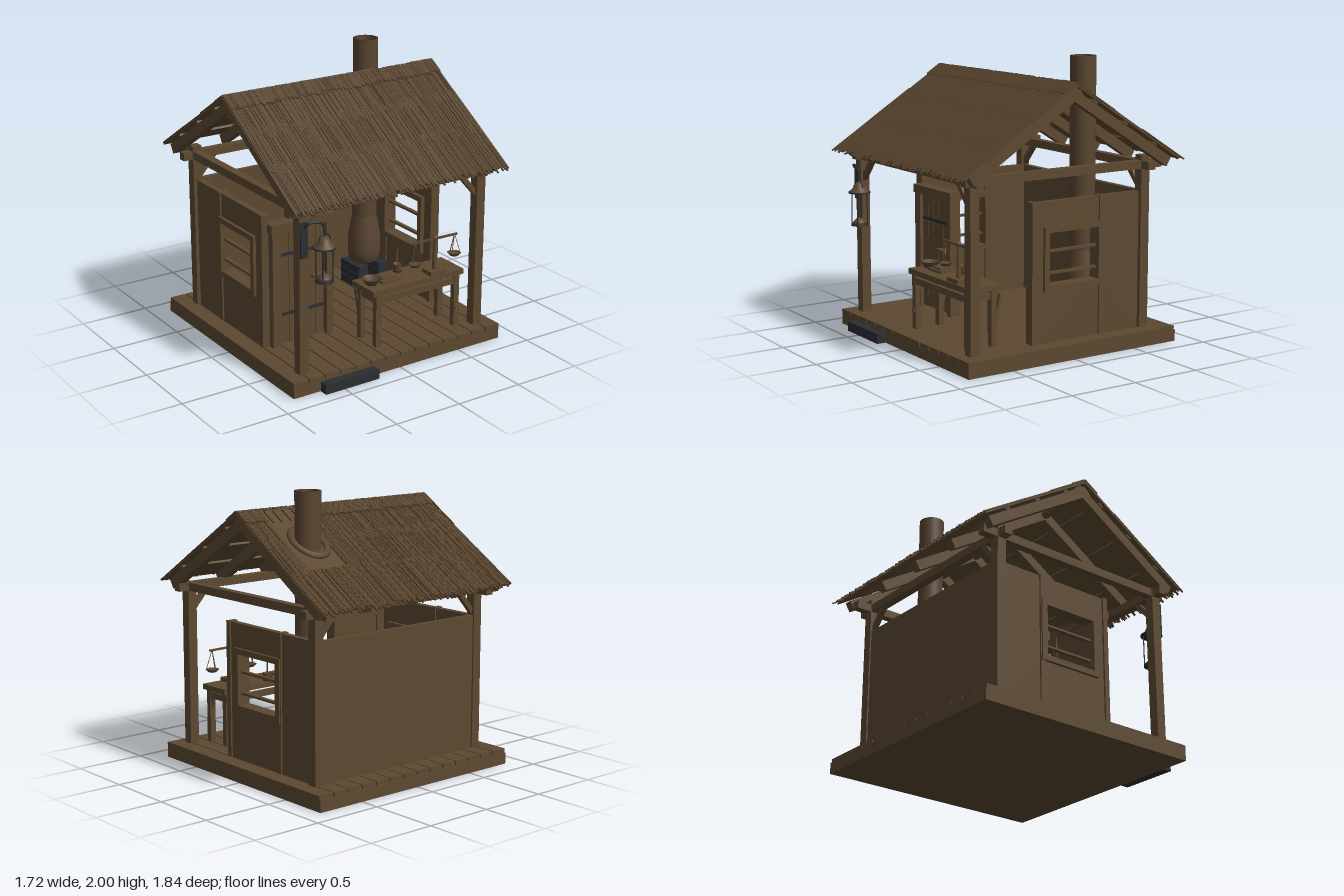
import * as THREE from 'three';
import { mergeGeometries } from 'three/addons/utils/BufferGeometryUtils.js';

const mat = (name, color, side = THREE.FrontSide) => {
  const m = new THREE.MeshStandardMaterial({ color, side });
  m.name = name;
  return m;
};

export function createModel() {
  const wood = mat('brown wood', 0x5c4830);
  const thatch = mat('dry thatch', 0x56422b);
  const clay = mat('brown clay', 0x594530, THREE.DoubleSide);
  const iron = mat('dark iron', 0x2b2e32);
  const model = new THREE.Group();
  model.name = 'openHut';

  let seed = 7;
  const rand = () => (seed = (seed * 16807) % 2147483647) / 2147483647;

  const add = (name, geo, m, x = 0, y = 0, z = 0, parent = model) => {
    const mesh = new THREE.Mesh(geo, m);
    mesh.name = name;
    mesh.position.set(x, y, z);
    parent.add(mesh);
    return mesh;
  };
  // box given by its limits
  const box = (name, x0, x1, y0, y1, z0, z1, m = wood, parent = model) =>
    add(name, new THREE.BoxGeometry(x1 - x0, y1 - y0, z1 - z0), m, (x0 + x1) / 2, (y0 + y1) / 2, (z0 + z1) / 2, parent);
  // square bar between two points
  const bar = (name, a, b, w, m = wood) => {
    const p = new THREE.Vector3(...a), q = new THREE.Vector3(...b);
    const mesh = add(name, new THREE.BoxGeometry(w, w, p.distanceTo(q)), m);
    mesh.position.copy(p).add(q).multiplyScalar(0.5);
    mesh.lookAt(q);
    return mesh;
  };
  const cyl = (name, r0, r1, h, x, y, z, m = wood, n = 16) =>
    add(name, new THREE.CylinderGeometry(r0, r1, h, n), m, x, y, z);
  const lathe = (name, pts, x, y, z, m = clay, n = 24) =>
    add(name, new THREE.LatheGeometry(pts.map(p => new THREE.Vector2(...p)), n), m, x, y, z);

  // base, floor boards and step
  box('base', -0.86, 0.86, 0, 0.08, -0.86, 0.85);
  const pitch = 1.72 / 14;
  for (let i = 0; i < 14; i++) {
    const x = -0.86 + i * pitch;
    box('floorBoard', x + (i ? 0.004 : 0), x + pitch - (i < 13 ? 0.004 : 0), 0.08, 0.11, -0.85, 0.85);
  }
  box('step', -0.65, -0.22, 0, 0.07, 0.85, 0.915, iron);

  // posts, braces, plates and tie beams
  for (const s of [-1, 1]) {
    for (const [z, top] of [[0.735, 1.28], [-0.655, 1.32]]) {
      add('post', new THREE.BoxGeometry(0.07, top - 0.11, 0.07), wood, s * 0.725, (top + 0.11) / 2, z);
      bar('brace', [s * 0.71, 1.08, z], [s * 0.56, 1.25, z], 0.035);
    }
    add('tieBeam', new THREE.BoxGeometry(0.06, 0.058, 1.6), wood, s * 0.725, 1.255, 0);
  }
  box('frontPlate', -0.83, 0.83, 1.225, 1.282, 0.705, 0.765);
  box('backPlate', -0.83, 0.83, 1.225, 1.282, -0.685, -0.625);

  // walls with a window on each side
  box('backWall', -0.7, 0.7, 0.11, 1.07, -0.68, -0.64);
  const rect = (T, x0, x1, y0, y1) => new T([[x0, y0], [x1, y0], [x1, y1], [x0, y1]].map(p => new THREE.Vector2(...p)));
  const panel = (z0, z1, y0, y1, depth) => {
    const shape = rect(THREE.Shape, -z1, -z0, y0, y1);
    shape.holes.push(rect(THREE.Path, -0.14, 0.265, 0.5, 0.86));
    const g = new THREE.ExtrudeGeometry(shape, { depth, bevelEnabled: false });
    return g.translate(0, 0, -depth / 2).rotateY(Math.PI / 2);
  };
  for (const s of [-1, 1]) {
    add('sideWall', panel(-0.64, 0.277, 0.11, 1.07, 0.045), wood, s * 0.71);
    add('windowFrame', panel(-0.31, 0.18, 0.46, 0.9, 0.1), wood, s * 0.705);
    for (const y of [0.58, 0.73]) add('windowBar', new THREE.BoxGeometry(0.03, 0.016, 0.41), wood, s * 0.71, y, -0.06);
    for (const z of [0.258, -0.297])
      add('wallStud', new THREE.BoxGeometry(0.07, 0.965, 0.038), wood, s * 0.71, 0.5925, z);
  }

  // door
  box('doorJamb', -0.69, -0.62, 0.11, 0.95, 0.24, 0.325);
  box('doorJamb', -0.255, -0.205, 0.11, 0.95, 0.24, 0.325);
  box('doorHeader', -0.7, -0.19, 0.95, 1.01, 0.24, 0.332);
  for (let i = 0; i < 5; i++) {
    const x = -0.615 + i * 0.071;
    box('doorPlank', x, x + 0.067, 0.12, 0.945, 0.27, 0.3);
  }
  box('doorBacking', -0.62, -0.255, 0.12, 0.945, 0.25, 0.27);
  for (const y of [0.34, 0.775]) box('doorStrap', -0.605, -0.265, y - 0.011, y + 0.011, 0.3, 0.309, iron);
  box('doorLatch', -0.37, -0.265, 0.568, 0.584, 0.3, 0.345);

  // roof: both slopes are built the same way, the back one turned round
  const slope = Math.atan(0.627);
  const stalk = (x, z0, len, y, parts) => {
    const g = new THREE.BoxGeometry(0.007 + rand() * 0.006, 0.009, len);
    g.rotateY((rand() - 0.5) * 0.015).translate(x, y, z0 + len / 2);
    parts.push(g);
  };
  for (const front of [true, false]) {
    const turn = new THREE.Group();
    turn.name = front ? 'frontRoof' : 'backRoof';
    turn.rotation.y = front ? 0 : Math.PI;
    const side = new THREE.Group();
    side.position.y = 1.845;
    side.rotation.x = slope;
    turn.add(side);
    model.add(turn);
    box('roofDeck', -0.86, 0.86, -0.01, 0, 0, 1.03, wood, side);
    for (const z of [0.2, 0.5, 0.8]) box('batten', -0.84, 0.84, -0.026, -0.01, z - 0.02, z + 0.02, wood, side);
    for (let i = 0; i < 5; i++) {
      const x = -0.8 + i * 0.4;
      box('rafter', x - 0.03, x + 0.03, -0.096, -0.026, -0.02, 0.985, wood, side);
    }
    const parts = [];
    const inPatch = x => !front && x > -0.68 && x < -0.36;
    for (let i = 0; i < 150; i++) {
      const x = -0.855 + i * 1.71 / 149;
      for (let row = 0; row < 3; row++) {
        if (inPatch(x) && row < 2) continue;
        const start = row ? row * 0.33 - rand() * 0.04 : 0;
        const z0 = inPatch(x) ? 0.63 + rand() * 0.025 : start;
        const end = row === 2 ? 1.02 + rand() * 0.06 : start + 0.36 + rand() * 0.06;
        stalk(x + (rand() - 0.5) * 0.006, z0, end - z0, 0.004 + rand() * 0.007, parts);
      }
      if (!inPatch(x)) stalk(x, -0.008 + rand() * 0.008, 0.11 + rand() * 0.03, 0.015, parts);
    }
    if (!front) for (const x of [-0.64, -0.57, -0.49, -0.41]) stalk(x, 0.02, 0.12, 0.012, parts);
    add('thatchStalks', mergeGeometries(parts), thatch, 0, 0, 0, side);
    if (!front) {
      box('chimneyPatch', -0.68, -0.36, 0, 0.006, 0.02, 0.64, wood, side);
      const ring = add('chimneyCollar', new THREE.TorusGeometry(0.122, 0.025, 10, 36).rotateX(Math.PI / 2), clay, -0.5, 0.008, 0.37, side);
      ring.scale.z = 1.16;
    }
  }
  const ridge = cyl('ridgePole', 0.03, 0.03, 1.66, 0, 1.77, 0, wood, 8);
  ridge.rotation.z = Math.PI / 2;

  // stove and chimney
  lathe('stove', [[0, 0.28], [0.08, 0.285], [0.112, 0.31], [0.122, 0.38], [0.12, 0.5], [0.09, 0.66]], 0.5, 0, -0.31);
  lathe('chimney', [[0.09, 0.66], [0.09, 2], [0.072, 2], [0.072, 1.4]], 0.5, 0, -0.31);
  for (const s of [-1, 1]) for (let i = 0; i < 3; i++)
    add('stoveBrick', new THREE.BoxGeometry(0.08, 0.056, 0.24), iron, 0.502 + s * 0.087, 0.14 + i * 0.06, -0.31);

  // work table
  box('tableTop', -0.13, 0.64, 0.495, 0.533, 0.45, 0.71);
  for (const z of [0.475, 0.685]) box('tableApron', -0.1, 0.61, 0.43, 0.475, z - 0.012, z + 0.012);
  for (const x of [-0.078, 0.59]) {
    for (const z of [0.493, 0.68]) box('tableLeg', x - 0.022, x + 0.022, 0.11, 0.495, z - 0.02, z + 0.02);
    box('tableRail', x - 0.015, x + 0.015, 0.43, 0.475, 0.47, 0.7);
    bar('tableBrace', [x, 0.23, 0.7], [x, 0.45, 0.645], 0.022);
    bar('tableBrace', [x, 0.23, 0.48], [x, 0.455, 0.425], 0.022);
  }

  // bowl, books, mortar and pestle
  lathe('bowl', [[0, 0.533], [0.035, 0.533], [0.068, 0.578], [0.06, 0.578], [0.03, 0.545], [0, 0.545]], -0.06, 0, 0.58);
  box('book', 0.0, 0.16, 0.533, 0.55, 0.52, 0.63);
  box('smallBook', 0.02, 0.13, 0.55, 0.562, 0.53, 0.61);
  lathe('mortar', [[0, 0.533], [0.032, 0.533], [0.022, 0.55], [0.034, 0.59], [0.027, 0.59], [0, 0.555]], 0.225, 0, 0.49);
  bar('pestle', [0.225, 0.56, 0.49], [0.24, 0.69, 0.47], 0.01);

  // balance scale
  box('scaleBase', 0.36, 0.49, 0.533, 0.562, 0.6, 0.7);
  cyl('scalePole', 0.01, 0.018, 0.24, 0.428, 0.68, 0.65);
  bar('scaleBeam', [0.235, 0.787, 0.65], [0.62, 0.782, 0.65], 0.014);
  add('scalePivot', new THREE.SphereGeometry(0.02, 12, 8), wood, 0.428, 0.79, 0.65);
  for (const [x, y] of [[0.26, 0.635], [0.598, 0.645]]) {
    lathe('scalePan', [[0, -0.028], [0.03, -0.02], [0.048, 0], [0.04, 0], [0, -0.02]], x, y, 0.65);
    for (let k = 0; k < 3; k++) {
      const a = k * Math.PI * 2 / 3 + Math.PI / 6;
      bar('scaleCord', [x, 0.785, 0.65], [x + 0.043 * Math.cos(a), y, 0.65 + 0.043 * Math.sin(a)], 0.004);
    }
  }

  // lantern on a bracket
  const lx = -0.605, lz = 0.83;
  box('bracketPlate', -0.757, -0.703, 0.94, 1.185, 0.77, 0.785, iron);
  const arm = new THREE.CatmullRomCurve3([[-0.73, 1.15, 0.785], [-0.72, 1.185, 0.81], [-0.66, 1.188, lz], [-0.615, 1.165, lz], [lx, 1.1, lz]].map(p => new THREE.Vector3(...p)));
  add('bracketArm', new THREE.TubeGeometry(arm, 20, 0.009, 6), iron);
  add('lanternHandle', new THREE.TorusGeometry(0.043, 0.005, 6, 20), iron, lx, 1.06, lz);
  lathe('lanternCap', [[0.075, 1.01], [0.045, 1.04], [0.038, 1.06], [0.02, 1.078], [0, 1.08]], lx, 0, lz);
  cyl('lanternRim', 0.078, 0.078, 0.01, lx, 1.008, lz, iron, 20);
  cyl('lanternBase', 0.058, 0.062, 0.018, lx, 0.779, lz, iron, 20);
  lathe('lanternBurner', [[0.045, 0.788], [0.045, 0.8], [0.025, 0.82], [0, 0.825]], lx, 0, lz);
  for (let k = 0; k < 4; k++) {
    const a = Math.PI / 4 + k * Math.PI / 2;
    cyl('lanternBar', 0.004, 0.004, 0.22, lx + 0.056 * Math.cos(a), 0.895, lz + 0.056 * Math.sin(a), iron, 6);
  }
  return model;
}
